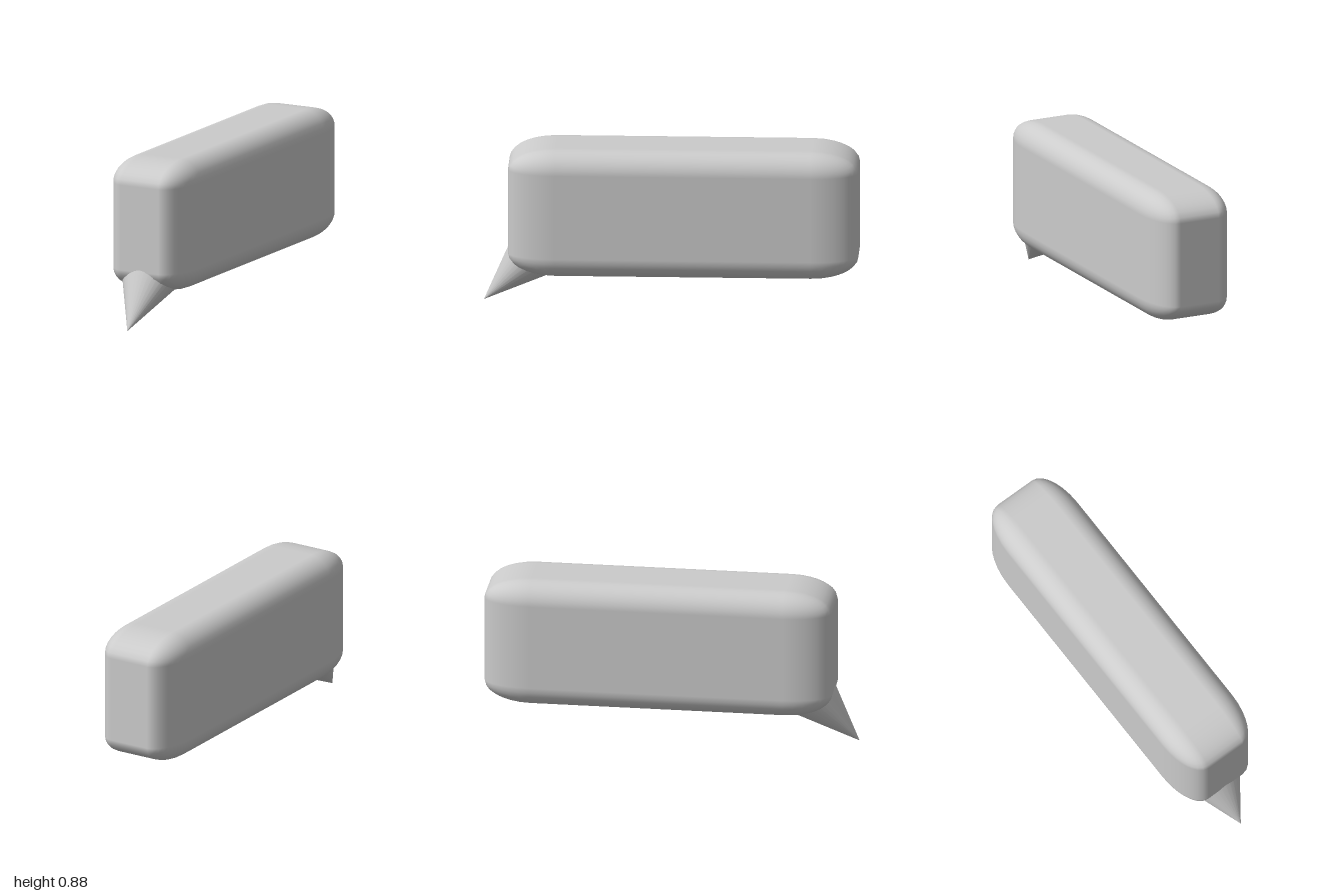
import * as THREE from 'three';
import { RoundedBoxGeometry } from 'three/addons/geometries/RoundedBoxGeometry.js';

export function createModel() {
  const group = new THREE.Group();
  const material = new THREE.MeshStandardMaterial({ color: 0xcccccc });

  // Long body: rounded box stretched along z, so its ends curve in more gradually
  const stretch = 2.1;
  const bodyGeometry = new RoundedBoxGeometry(0.468, 0.704, 1.868 / stretch, 4, 0.12);
  bodyGeometry.scale(1, 1, stretch);
  const body = new THREE.Mesh(bodyGeometry, material);
  body.name = 'body';
  body.position.set(0, 0.526, -0.067);
  group.add(body);

  // Pointed tip: slightly wide cone aimed forward and down, its base sunk in the body
  const height = 0.44;
  const tipGeometry = new THREE.ConeGeometry(1, height, 32);
  tipGeometry.scale(0.467 * height, 1, 0.393 * height);
  tipGeometry.translate(0, -height / 2, 0); // apex at the origin
  const tip = new THREE.Mesh(tipGeometry, material);
  tip.name = 'tip';
  tip.rotation.x = THREE.MathUtils.degToRad(135);
  tip.position.set(0, 0, 1);
  group.add(tip);

  return group;
}
